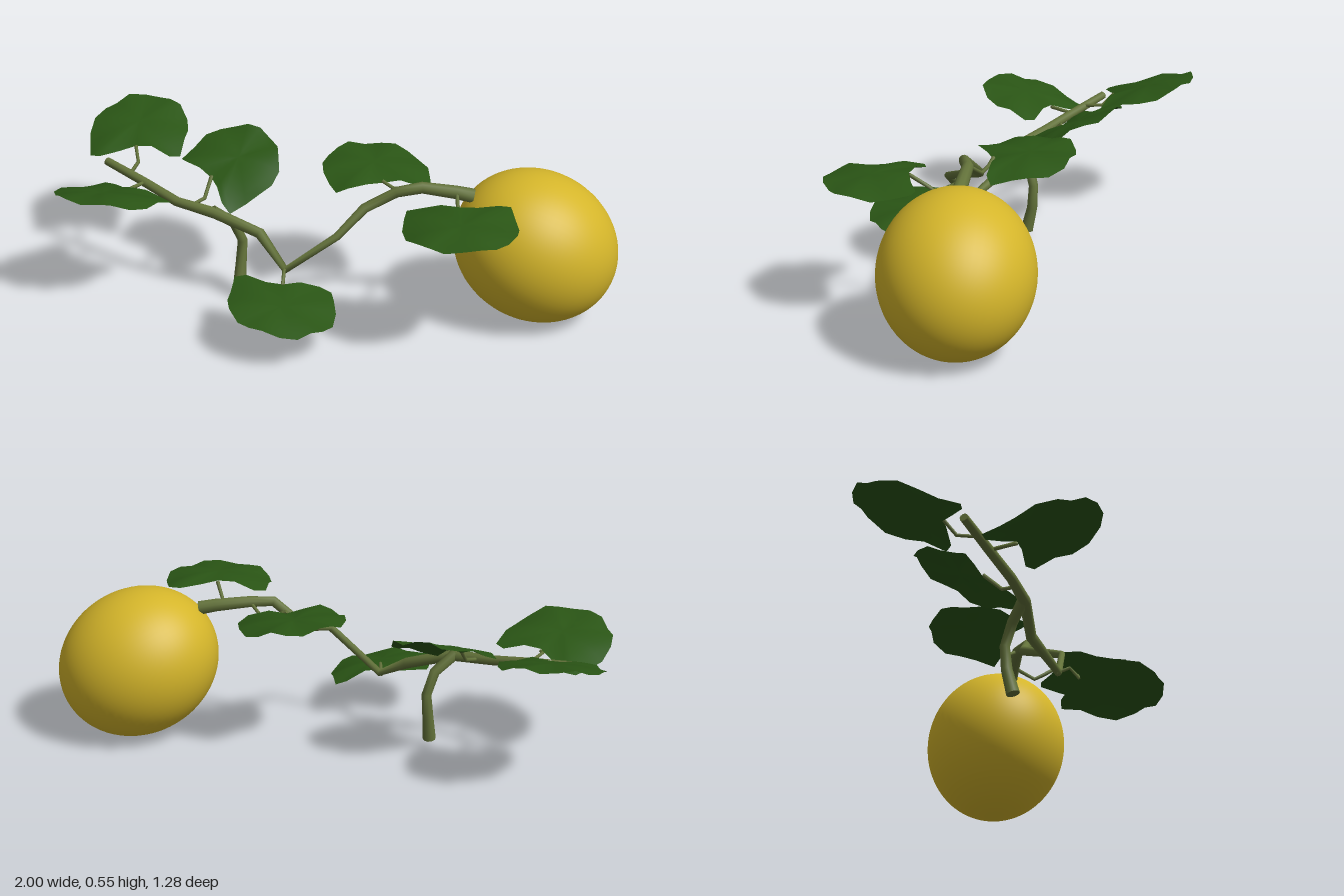
import * as THREE from 'three';

const mat = (color, side = THREE.FrontSide) => new THREE.MeshStandardMaterial({ color, side });
const fruitMat = mat(0xd4b52a);
const barkMat = mat(0x63723a);
const leafMat = mat(0x2a5515, THREE.DoubleSide);

// Tapered round rod through points [x, y, z, radius], closed at both ends
function rod(name, pts, sides = 10) {
  const P = pts.map(p => new THREE.Vector3(p[0], p[1], p[2]));
  const pos = [], idx = [];
  let side = new THREE.Vector3(0.31, 0.2, 0.93);
  P.forEach((p, i) => {
    const t = new THREE.Vector3();
    if (i > 0) t.add(P[i].clone().sub(P[i - 1]).normalize());
    if (i < P.length - 1) t.add(P[i + 1].clone().sub(P[i]).normalize());
    t.normalize();
    side = side.clone().addScaledVector(t, -side.dot(t)).normalize();
    const other = t.clone().cross(side);
    for (let k = 0; k < sides; k++) {
      const a = (k / sides) * Math.PI * 2;
      const q = p.clone().addScaledVector(side, Math.cos(a) * pts[i][3])
        .addScaledVector(other, Math.sin(a) * pts[i][3]);
      pos.push(q.x, q.y, q.z);
      if (i < P.length - 1) {
        const a0 = i * sides + k, b0 = i * sides + (k + 1) % sides;
        idx.push(a0, b0, b0 + sides, a0, b0 + sides, a0 + sides);
      }
    }
  });
  // End caps with their own vertices so the rims stay crisp
  for (const end of [0, P.length - 1]) {
    const base = pos.length / 3;
    for (let k = 0; k < sides; k++) {
      const j = (end * sides + k) * 3;
      pos.push(pos[j], pos[j + 1], pos[j + 2]);
    }
    for (let k = 1; k < sides - 1; k++) {
      if (end) idx.push(base, base + k, base + k + 1);
      else idx.push(base, base + k + 1, base + k);
    }
  }
  return mesh(name, pos, idx, barkMat);
}

function mesh(name, pos, idx, material) {
  const g = new THREE.BufferGeometry();
  g.setAttribute('position', new THREE.Float32BufferAttribute(pos, 3));
  g.setIndex(idx);
  g.computeVertexNormals();
  const m = new THREE.Mesh(g, material);
  m.name = name;
  return m;
}

// Right half of the leaf outline from notch to tip: [sideways, forward]
const HALF = [[0, 0], [0.06, -0.015], [0.13, -0.04], [0.17, -0.03], [0.18, 0.04], [0.188, 0.1],
  [0.178, 0.165], [0.145, 0.225], [0.105, 0.25], [0.06, 0.278], [0, 0.288]];
const OUTLINE = [...HALF, ...HALF.slice(1, -1).reverse().map(([u, v]) => [-u, v])];

// Leaf blade: rings shrinking to the middle, tilted by slopes and drooping at the rim
function leafBlade({ notch, dir, slope, width = 1, length = 1 }, seed) {
  const [fx, fz] = new THREE.Vector2(...dir).normalize().toArray();
  const pos = [], idx = [], n = OUTLINE.length, rings = 5;
  const put = (u, v, r, k) => {
    const dx = -fz * u + fx * v, dz = fx * u + fz * v;
    const droop = -1.3 * u * u + 0.12 * Math.abs(u) - 0.35 * (v - 0.12) ** 2;
    const ripple = 0.009 * r * r * Math.sin(k * 1.9 + seed * 2.3);
    pos.push(notch[0] + dx, notch[1] + dx * slope[0] + dz * slope[1] + droop + ripple + 0.005, notch[2] + dz);
  };
  put(0, 0.13 * length, 0, 0);
  for (let i = 1; i <= rings; i++) {
    const r = i / rings;
    OUTLINE.forEach(([u, v], k) => {
      put(u * r * width, (0.13 + (v - 0.13) * r) * length, r, k);
      const a = 1 + (i - 1) * n + k, b = 1 + (i - 1) * n + (k + 1) % n;
      if (i === 1) idx.push(0, a, b);
      else idx.push(a - n, a, b, a - n, b, b - n);
    });
  }
  return mesh('leafBlade', pos, idx, leafMat);
}

// Each leaf: notch position, forward direction (x, z), slope of height along x and z, stalk path
const LEAVES = [
  { notch: [-0.73, 0.455, -0.335], dir: [0.06, -1], slope: [0.06, -0.27], width: 0.98, length: 1.06,
    stalk: [[-0.745, 0.4, -0.21], [-0.72, 0.41, -0.29]] },
  { notch: [-0.735, 0.395, -0.09], dir: [-0.68, 0.73], slope: [-0.07, 0.24], width: 1.02, length: 1.05,
    stalk: [[-0.69, 0.385, -0.17], [-0.74, 0.39, -0.1]] },
  { notch: [-0.445, 0.42, -0.14], dir: [0.83, -0.55], slope: [0.13, -0.43], width: 0.96, length: 0.9,
    stalk: [[-0.51, 0.35, -0.05], [-0.47, 0.36, -0.08]] },
  { notch: [0.415, 0.515, 0.345], dir: [-0.03, 1], slope: [0.02, -0.06], width: 1.05, length: 1.02,
    stalk: [[0.42, 0.49, 0.18], [0.42, 0.455, 0.25], [0.395, 0.465, 0.28]] },
  { notch: [-0.19, 0.185, 0.265], dir: [-0.04, 1], slope: [-0.14, -0.13], length: 1.04,
    stalk: [[-0.185, 0.2, 0.18], [-0.185, 0.225, 0.23]] },
  { notch: [0.165, 0.495, 0.075], dir: [-0.18, -0.97], slope: [-0.07, -0.08], width: 1.02, length: 1.01,
    stalk: [[0.29, 0.5, 0.145], [0.26, 0.47, 0.11], [0.2, 0.475, 0.09]] },
];

export function createModel() {
  const model = new THREE.Group();
  model.name = 'fruitBranch';

  // Fruit: long ellipsoid hanging down and outward
  const fruit = new THREE.Mesh(new THREE.SphereGeometry(1, 64, 40), fruitMat);
  fruit.name = 'fruit';
  fruit.scale.set(0.267, 0.302, 0.267);
  fruit.position.set(0.706, 0.278, 0.161);
  fruit.rotation.z = THREE.MathUtils.degToRad(58);
  model.add(fruit);

  // Zigzag twig from the bare tip to the fruit
  model.add(rod('twig', [
    [-0.835, 0.415, -0.29, 0.015], [-0.7, 0.385, -0.18, 0.017], [-0.57, 0.352, -0.07, 0.018],
    [-0.43, 0.343, 0.01, 0.021], [-0.27, 0.29, 0.07, 0.02], [-0.18, 0.205, 0.19, 0.014],
    [0, 0.365, 0.25, 0.014], [0.1, 0.415, 0.13, 0.018], [0.21, 0.498, 0.175, 0.019],
    [0.3, 0.505, 0.155, 0.021], [0.42, 0.49, 0.165, 0.024], [0.48, 0.478, 0.17, 0.026],
  ]));

  // Cut stem below the twig
  model.add(rod('stem', [
    [-0.35, 0.028, -0.015, 0.024], [-0.342, 0.12, -0.035, 0.02], [-0.335, 0.21, -0.04, 0.018],
    [-0.365, 0.29, -0.02, 0.019], [-0.44, 0.35, 0.005, 0.021],
  ]));

  // Leaves with their stalks
  LEAVES.forEach((leaf, i) => {
    const group = new THREE.Group();
    group.name = 'leaf' + (i + 1);
    const path = [...leaf.stalk, leaf.notch];
    group.add(rod('leafStalk', path.map(p => [...p, 0.007]), 6), leafBlade(leaf, i));
    model.add(group);
  });
  return model;
}
